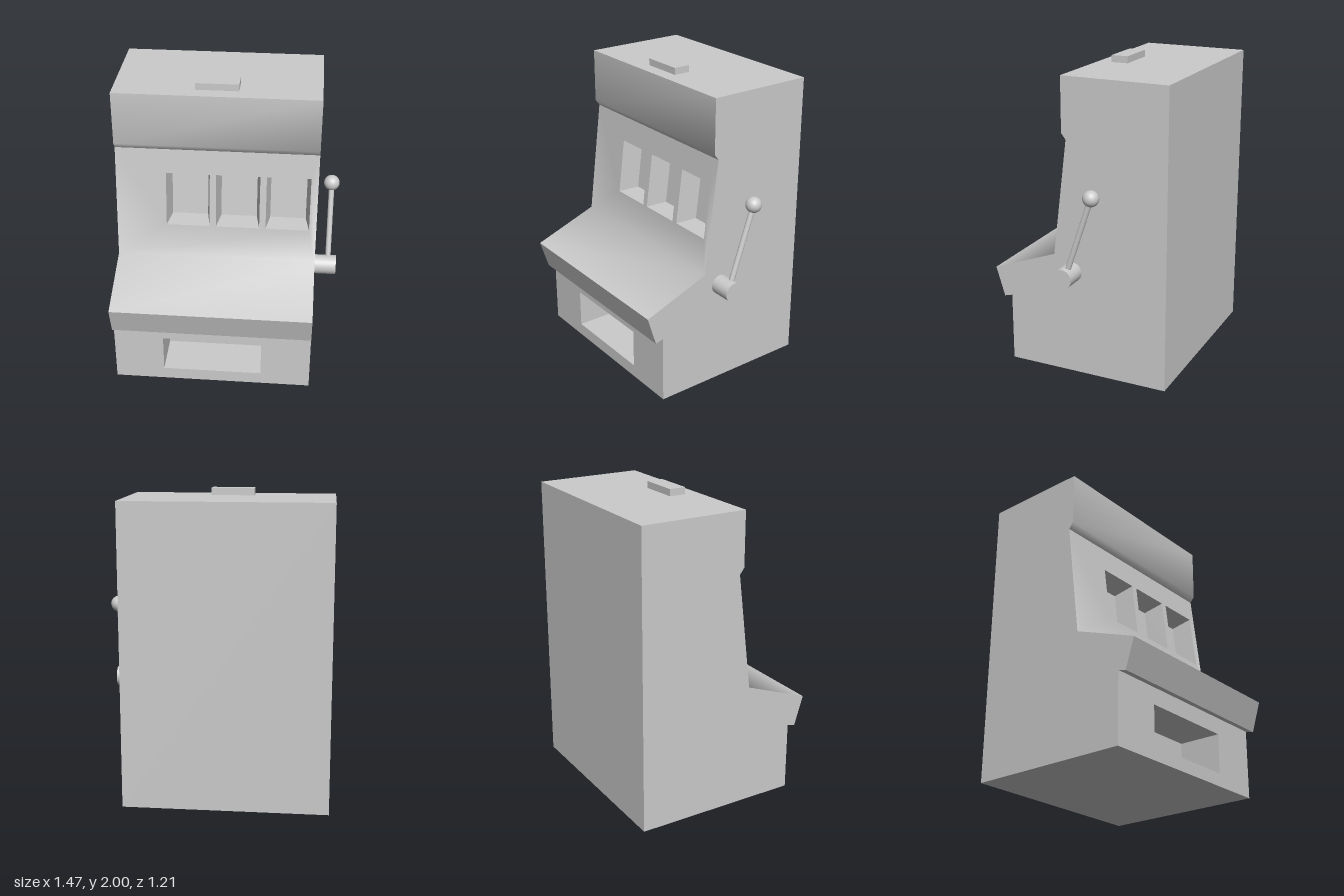
import * as THREE from 'three';
import { mergeGeometries, toCreasedNormals } from 'three/addons/utils/BufferGeometryUtils.js';

const LEFT = 0.585, RIGHT = -0.735;
const material = new THREE.MeshStandardMaterial({ color: 0xcccccc });

// Cabinet side outline as [z, y], going up the front and down the back
const PROFILE = [
  [0.49, 0], [0.49, 0.455], [0.545, 0.44], [0.605, 0.635], [0.165, 0.8],
  [0.07, 1.56], [0.1, 1.6], [0.1, 1.955], [-0.607, 1.955], [-0.607, 0],
];

// Openings per outline segment: x0, x1 and v0, v1 measured along the segment
const OPENINGS = {
  0: [{ x0: -0.405, x1: 0.255, v0: 0.085, v1: 0.345, depth: 0.29, inset: 0 }],
  4: [0, 1, 2].map((i) => ({
    x0: -0.405 + i * 0.328, x1: -0.119 + i * 0.328,
    v0: 0.232, v1: 0.6, depth: 0.14, inset: 0.024,
  })),
};

const rect = (x0, x1, y0, y1) =>
  [[x0, y0], [x1, y0], [x1, y1], [x0, y1]].map(([x, y]) => new THREE.Vector2(x, y));

const plain = (g) => {
  const out = g.index ? g.toNonIndexed() : g;
  out.deleteAttribute('uv');
  out.computeVertexNormals();
  return out;
};

// Open box seen from inside, its back face narrowed by the inset
function recess({ x0, x1, v0, v1, depth, inset }) {
  const g = new THREE.BoxGeometry(x1 - x0, v1 - v0, depth);
  const p = g.attributes.position;
  for (let i = 0; i < p.count; i++) {
    if (p.getZ(i) > 0) continue;
    p.setX(i, p.getX(i) - Math.sign(p.getX(i)) * inset);
    p.setY(i, p.getY(i) - Math.sign(p.getY(i)) * inset);
  }
  const index = Array.from(g.index.array);
  index.splice(24, 6); // drop the front face
  g.setIndex(index.reverse());
  return plain(g.translate((x0 + x1) / 2, (v0 + v1) / 2, -depth / 2));
}

// One panel across the cabinet, with its openings
function panel(a, b, openings) {
  const dir = new THREE.Vector3(0, b[1] - a[1], b[0] - a[0]);
  const length = dir.length();
  dir.normalize();
  const across = new THREE.Vector3(1, 0, 0);
  const shape = new THREE.Shape(rect(RIGHT, LEFT, 0, length));
  openings.forEach((o) => shape.holes.push(new THREE.Path(rect(o.x0, o.x1, o.v0, o.v1))));
  const place = new THREE.Matrix4()
    .makeBasis(across, dir, across.clone().cross(dir))
    .setPosition(0, a[1], a[0]);
  return [plain(new THREE.ShapeGeometry(shape)), ...openings.map(recess)]
    .map((g) => g.applyMatrix4(place));
}

function cabinetGeometry() {
  const parts = PROFILE.flatMap((a, i) =>
    panel(a, PROFILE[(i + 1) % PROFILE.length], OPENINGS[i] || []));
  // Side walls
  for (const s of [1, -1]) {
    const shape = new THREE.Shape(PROFILE.map(([z, y]) => new THREE.Vector2(-s * z, y)));
    parts.push(plain(new THREE.ShapeGeometry(shape)
      .rotateY(s * Math.PI / 2).translate(s > 0 ? LEFT : RIGHT, 0, 0)));
  }
  return toCreasedNormals(mergeGeometries(parts), 1.2);
}

export function createModel() {
  const model = new THREE.Group();
  const add = (name, geometry, parent = model) => {
    const mesh = new THREE.Mesh(geometry, material);
    mesh.name = name;
    parent.add(mesh);
    return mesh;
  };

  add('cabinet', cabinetGeometry());
  add('topLight', new THREE.BoxGeometry(0.277, 0.045, 0.111)).position.set(-0.075, 1.9775, -0.047);

  // Pull lever on the side
  const lever = new THREE.Group();
  lever.name = 'lever';
  model.add(lever);
  add('leverHub', new THREE.CylinderGeometry(0.065, 0.065, 0.145, 32).rotateZ(Math.PI / 2), lever)
    .position.set(0.6575, 0.7, 0.037);
  const foot = new THREE.Vector3(0.676, 0.7, 0.037);
  const top = new THREE.Vector3(0.676, 1.24, -0.145);
  const span = top.clone().sub(foot);
  const rod = add('leverRod', new THREE.CylinderGeometry(0.018, 0.018, span.length(), 24), lever);
  rod.position.copy(foot).lerp(top, 0.5);
  rod.quaternion.setFromUnitVectors(new THREE.Vector3(0, 1, 0), span.normalize());
  add('leverKnob', new THREE.SphereGeometry(0.052, 32, 20), lever).position.copy(top);

  return model;
}
